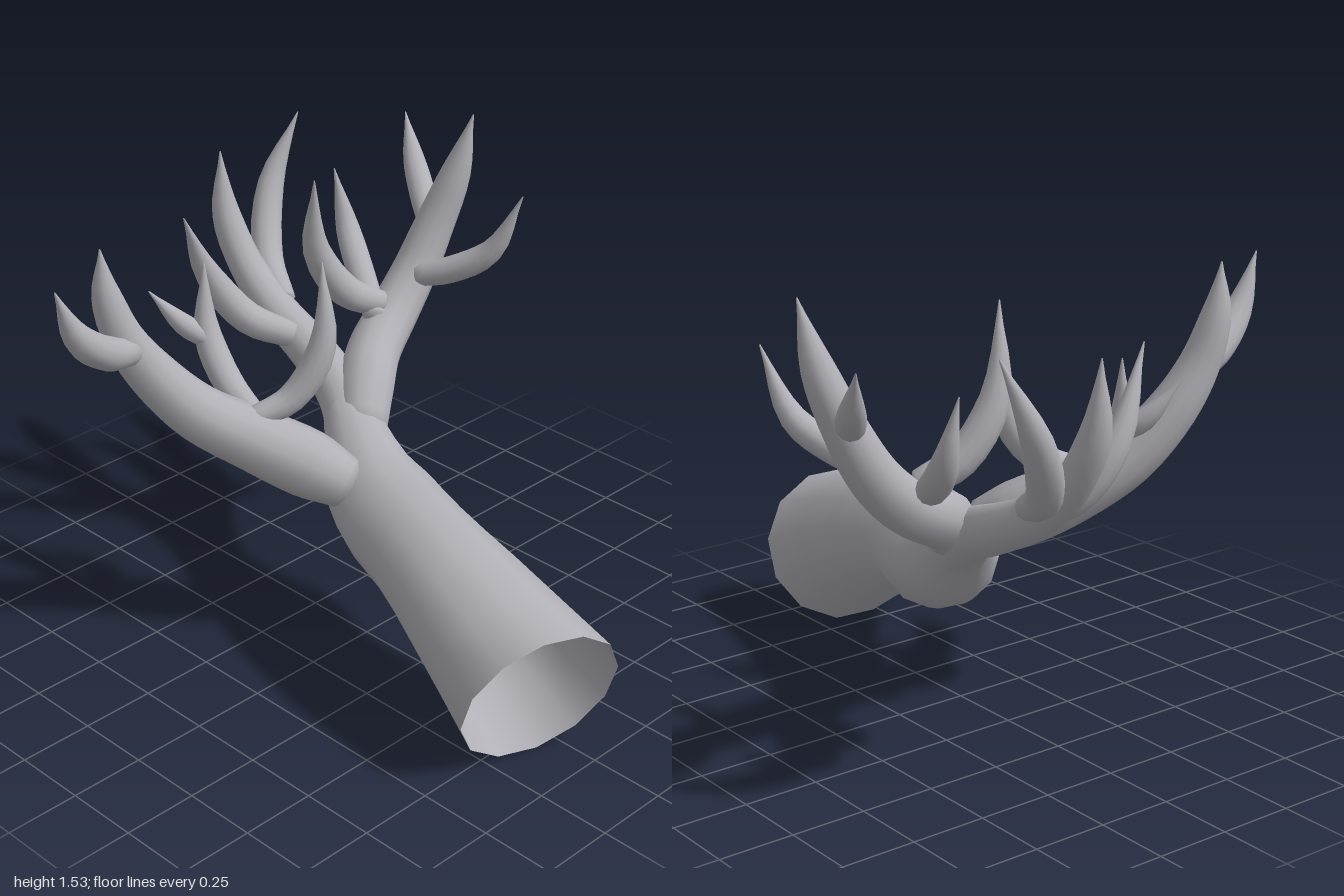
import * as THREE from 'three';

const SIDES = 12;

// Tapered tube along points [x, y, z, radius]; startDir tilts the first ring, cap closes the base.
function limbGeometry(pts, { steps = 4, startDir = null, cap = true } = {}) {
  const path = new THREE.CatmullRomCurve3(pts.map(p => new THREE.Vector3(p[0], p[1], p[2])));
  const girth = new THREE.CatmullRomCurve3(pts.map((p, i) => new THREE.Vector3(i, p[3], 0)));
  const n = (pts.length - 1) * steps;
  const pos = [], idx = [];
  const normal = new THREE.Vector3(0, 0, 1), side = new THREE.Vector3();

  const ring = (c, dir, r) => {
    normal.addScaledVector(dir, -normal.dot(dir));
    if (normal.lengthSq() < 0.01) normal.set(0, 1, 0).addScaledVector(dir, -dir.y);
    normal.normalize();
    side.crossVectors(dir, normal);
    for (let j = 0; j < SIDES; j++) {
      const a = (j + 0.5) / SIDES * Math.PI * 2;
      const v = c.clone().addScaledVector(normal, Math.cos(a) * r).addScaledVector(side, Math.sin(a) * r);
      pos.push(v.x, v.y, v.z);
    }
  };

  for (let i = 0; i <= n; i++) {
    const t = i / n, c = path.getPoint(t), dir = path.getTangent(t);
    if (startDir) dir.lerp(startDir, Math.max(0, 1 - i / (steps * 2))).normalize();
    const r = Math.max(girth.getPoint(t).y, 0.002);
    // rounded base
    if (i === 0 && cap) {
      ring(c.clone().addScaledVector(dir, -r * 0.4), dir, 0.001);
      ring(c.clone().addScaledVector(dir, -r * 0.25), dir, r * 0.7);
    }
    ring(c, dir, r);
  }
  const rings = pos.length / 3 / SIDES;
  for (let i = 0; i < rings - 1; i++) {
    for (let j = 0; j < SIDES; j++) {
      const a = i * SIDES + j, b = i * SIDES + (j + 1) % SIDES;
      idx.push(a, b, a + SIDES, b, b + SIDES, a + SIDES);
    }
  }
  const g = new THREE.BufferGeometry();
  g.setAttribute('position', new THREE.Float32BufferAttribute(pos, 3));
  g.setIndex(idx);
  g.computeVertexNormals();
  return g;
}

// Three boughs, each a main stem with side tines
const BOUGHS = {
  frontBough: {
    stem: [[-0.03, 0.59, 0.065, 0.085], [-0.14, 0.645, 0.13, 0.112], [-0.27, 0.735, 0.25, 0.105],
      [-0.37, 0.845, 0.39, 0.093], [-0.44, 1.0, 0.51, 0.08], [-0.47, 1.14, 0.59, 0.066],
      [-0.49, 1.3, 0.635, 0.047], [-0.49, 1.46, 0.65, 0]],
    tines: [
      [[-0.44, 1.11, 0.59, 0.045], [-0.42, 1.15, 0.7, 0.055], [-0.39, 1.26, 0.83, 0.045], [-0.38, 1.44, 0.91, 0]],
      [[-0.27, 0.81, 0.25, 0.035], [-0.21, 0.86, 0.13, 0.048], [-0.165, 1.03, 0.035, 0.045], [-0.2, 1.3, 0, 0]],
      [[-0.27, 0.8, 0.23, 0.04], [-0.42, 0.86, 0.21, 0.05], [-0.53, 1.0, 0.2, 0.045], [-0.56, 1.24, 0.18, 0]],
      [[-0.5, 0.98, 0.2, 0.03], [-0.58, 1.04, 0.26, 0.035], [-0.65, 1.16, 0.34, 0]],
    ],
  },
  backBough: {
    stem: [[-0.19, 0.65, -0.17, 0.085], [-0.27, 0.74, -0.27, 0.095], [-0.345, 0.8, -0.38, 0.092],
      [-0.39, 0.87, -0.51, 0.086], [-0.405, 0.985, -0.63, 0.078], [-0.395, 1.14, -0.72, 0.068],
      [-0.36, 1.33, -0.79, 0.05], [-0.325, 1.53, -0.83, 0]],
    tines: [
      [[-0.36, 1.0, -0.61, 0.04], [-0.26, 1.035, -0.66, 0.046], [-0.14, 1.12, -0.73, 0.04], [-0.05, 1.33, -0.78, 0]],
      [[-0.4, 1.15, -0.7, 0.04], [-0.52, 1.2, -0.79, 0.046], [-0.63, 1.28, -0.86, 0.037], [-0.72, 1.41, -0.91, 0]],
      [[-0.4, 0.93, -0.46, 0.045], [-0.45, 0.995, -0.35, 0.055], [-0.475, 1.17, -0.24, 0.047], [-0.43, 1.45, -0.19, 0]],
      [[-0.38, 0.9, -0.42, 0.04], [-0.53, 0.96, -0.51, 0.048], [-0.68, 1.08, -0.585, 0.042], [-0.735, 1.29, -0.575, 0]],
    ],
  },
  rightBough: {
    stem: [[-0.18, 0.61, -0.14, 0.1], [-0.34, 0.705, -0.215, 0.085], [-0.52, 0.78, -0.255, 0.078],
      [-0.7, 0.87, -0.26, 0.07], [-0.84, 1.0, -0.25, 0.06], [-0.925, 1.17, -0.24, 0.048], [-0.945, 1.39, -0.24, 0]],
    tines: [
      [[-0.7, 0.9, -0.29, 0.045], [-0.85, 0.99, -0.36, 0.055], [-0.955, 1.2, -0.48, 0.046], [-0.93, 1.44, -0.59, 0]],
      [[-0.58, 0.83, -0.22, 0.045], [-0.69, 0.89, -0.12, 0.055], [-0.755, 1.06, -0.01, 0.046], [-0.71, 1.33, 0.13, 0]],
    ],
  },
};

export function createModel() {
  const model = new THREE.Group();
  const grey = new THREE.MeshStandardMaterial({ color: 0xb0b0b6, side: THREE.DoubleSide });
  grey.name = 'grey';
  const add = (parent, name, geometry) => {
    const mesh = new THREE.Mesh(geometry, grey);
    mesh.name = name;
    parent.add(mesh);
  };

  // Hollow open-ended trunk
  add(model, 'trunk', limbGeometry([
    [0.89, 0.25, 0.145, 0.27], [0.52, 0.41, 0.095, 0.212], [0.28, 0.47, 0.04, 0.183],
    [0.1, 0.475, -0.025, 0.182], [-0.02, 0.515, -0.06, 0.165], [-0.13, 0.585, -0.11, 0.125],
    [-0.28, 0.675, -0.19, 0.085],
  ], { steps: 2, startDir: new THREE.Vector3(-1, 0.33, -0.34).normalize(), cap: false }));

  // Boughs and their tines
  for (const [name, { stem, tines }] of Object.entries(BOUGHS)) {
    const bough = new THREE.Group();
    bough.name = name;
    add(bough, 'stem', limbGeometry(stem));
    tines.forEach((pts, i) => add(bough, `tine${i + 1}`, limbGeometry(pts)));
    model.add(bough);
  }
  return model;
}
